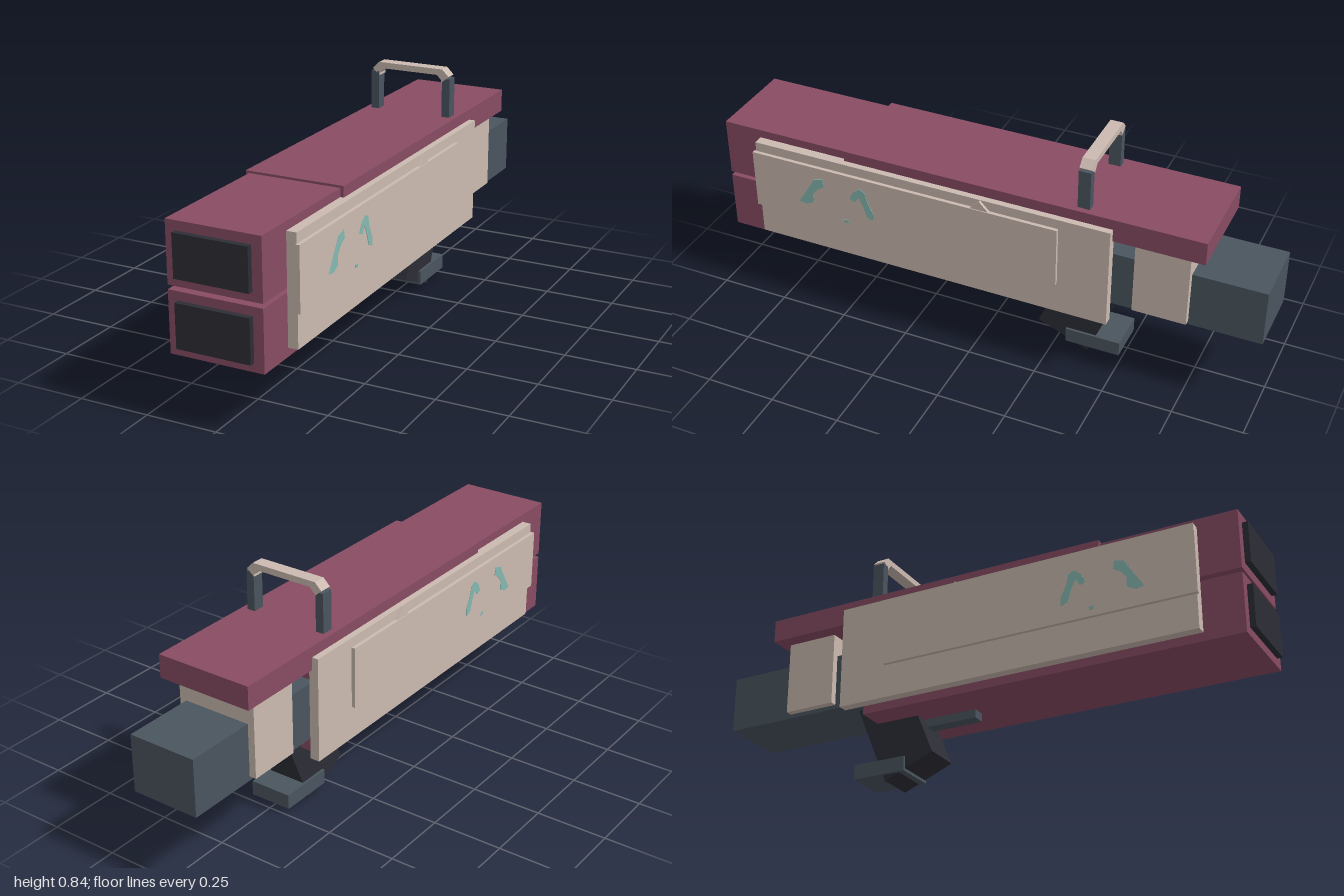
import * as THREE from 'three';

const mat = (name, color, side = THREE.FrontSide) => {
  const m = new THREE.MeshStandardMaterial({ color, side });
  m.name = name;
  return m;
};

export function createModel() {
  const model = new THREE.Group();
  model.name = 'launcher';
  const plum = mat('plum', 0x884c63);
  const beige = mat('beige', 0xcbbab0);
  const slate = mat('slate', 0x4a555f);
  const black = mat('black', 0x2d2e36);
  const teal = mat('teal', 0x86b9b2);

  const add = (name, geometry, material) => {
    const mesh = new THREE.Mesh(geometry, material);
    mesh.name = name;
    model.add(mesh);
    return mesh;
  };
  // Box given by its limits on each axis
  const box = (name, material, [x0, x1], [y0, y1], [z0, z1]) => {
    const mesh = add(name, new THREE.BoxGeometry(x1 - x0, y1 - y0, z1 - z0), material);
    mesh.position.set((x0 + x1) / 2, (y0 + y1) / 2, (z0 + z1) / 2);
    return mesh;
  };
  const sym = (w) => [-w, w];
  const shapeOf = (points) => new THREE.Shape(points.map(([x, y]) => new THREE.Vector2(x, y)));
  const extrude = (points, depth) =>
    new THREE.ExtrudeGeometry(shapeOf(points), { depth, bevelEnabled: false });

  // Two stacked barrels, their muzzle plates and the top cover
  box('upperBarrel', plum, sym(0.165), [0.445, 0.655], [-0.41, 0.98]);
  box('lowerBarrel', plum, sym(0.165), [0.22, 0.43], [-0.41, 0.98]);
  box('upperMuzzle', black, sym(0.13), [0.477, 0.623], [0.97, 1]);
  box('lowerMuzzle', black, sym(0.13), [0.25, 0.4], [0.97, 1]);
  box('topCover', plum, sym(0.177), [0.58, 0.663], [-0.8, 0.5]);

  // Rear block and its collar
  box('rearBlock', slate, sym(0.125), [0.285, 0.49], [-1, -0.38]);
  box('rearCollar', beige, sym(0.15), [0.3, 0.565], [-0.745, -0.555]);

  // Tilted grip, foot plate and trigger
  const grip = add('grip', new THREE.BoxGeometry(0.136, 0.34, 0.2), black);
  grip.rotation.x = -0.39;
  grip.position.set(0, 0.197, -0.346);
  box('footPlate', slate, sym(0.077), [0.024, 0.077], [-0.495, -0.295]);
  box('trigger', slate, sym(0.023), [0.19, 0.23], [-0.3, -0.045]);

  // Carry handle: two posts and a chamfered bar
  const bar = [
    [-0.15, 0.812], [-0.125, 0.837], [0.125, 0.837], [0.15, 0.812],
    [0.122, 0.788], [0.122, 0.797], [0.105, 0.815],
    [-0.105, 0.815], [-0.122, 0.797], [-0.122, 0.788],
  ];
  add('carryBar', extrude(bar, 0.045), beige).position.z = -0.397;

  // Painted strokes as [z, y] outlines
  const marks = [
    [[0.57, 0.55], [0.565, 0.52], [0.59, 0.505], [0.61, 0.48], [0.61, 0.445],
      [0.64, 0.43], [0.67, 0.435], [0.65, 0.465], [0.625, 0.505], [0.605, 0.54]],
    [[0.465, 0.5], [0.45, 0.53], [0.425, 0.55], [0.405, 0.54], [0.395, 0.5],
      [0.375, 0.46], [0.375, 0.43], [0.4, 0.44], [0.415, 0.485], [0.43, 0.515], [0.445, 0.49]],
    [[0.495, 0.405], [0.475, 0.405], [0.475, 0.393], [0.49, 0.393]],
  ];

  for (const s of [1, -1]) {
    const side = s > 0 ? 'left' : 'right';
    const span = (a, b) => (s > 0 ? [a, b] : [-b, -a]);
    // Plate drawn in [z, y] and extruded along x between a and b
    const sidePlate = (name, points, a, b, material) => {
      const mesh = add(name, extrude(points.map(([z, y]) => [-z, y]), b - a), material);
      mesh.rotation.y = Math.PI / 2;
      mesh.position.x = span(a, b)[0];
    };
    box(side + 'Post', slate, span(0.125, 0.155), [0.65, 0.803], [-0.395, -0.352]);
    box(side + 'Panel', beige, span(0.165, 0.2), [0.25, 0.625], [-0.485, 0.84]);
    box(side + 'OuterPanel', beige, span(0.199, 0.213), [0.37, 0.59], [-0.305, 0.847]);
    sidePlate(side + 'Notch', [[0.01, 0.588], [-0.025, 0.624], [-0.06, 0.588]], 0.199, 0.21, beige);
    marks.forEach((m, i) => sidePlate(side + 'Stroke' + (i + 1), m, 0.212, 0.2145, teal));
  }
  return model;
}
